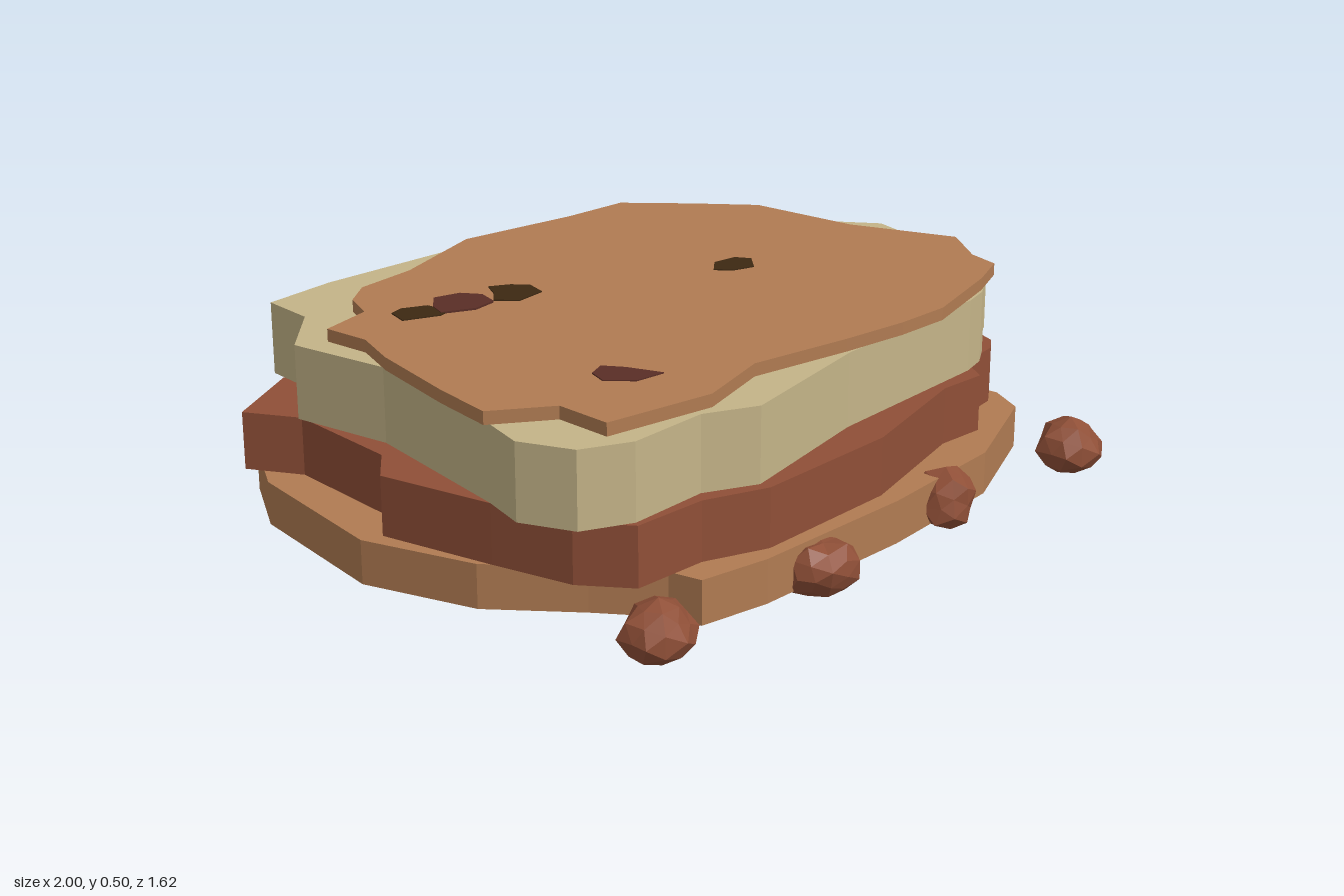
import * as THREE from 'three';

function material(name, color) {
  const m = new THREE.MeshStandardMaterial({ color });
  m.name = name;
  return m;
}

// Flat slab with an irregular outline of [x, z] corners, between two heights
function slab(name, outline, bottom, top, mat) {
  const shape = new THREE.Shape(outline.map(([x, z]) => new THREE.Vector2(x, -z)));
  const geo = new THREE.ExtrudeGeometry(shape, { depth: top - bottom, bevelEnabled: false });
  geo.rotateX(-Math.PI / 2).translate(0, bottom, 0);
  const mesh = new THREE.Mesh(geo, mat);
  mesh.name = name;
  return mesh;
}

// Faceted pebble with a flat underside; offsets depend only on corner direction
function rock(name, x, z, [rx, ry, rz], y, seed, mat) {
  const geo = new THREE.IcosahedronGeometry(1, 1);
  const p = geo.attributes.position;
  const v = new THREE.Vector3();
  for (let i = 0; i < p.count; i++) {
    v.fromBufferAttribute(p, i);
    const k = 0.94 + 0.11 * Math.sin(v.x * 4.3 + v.y * 7.1 + v.z * 5.7 + seed * 2.1);
    p.setXYZ(i, v.x * k * rx, Math.max(v.y * k * ry, 0.004 - y), v.z * k * rz);
  }
  const flat = geo.index ? geo.toNonIndexed() : geo;
  flat.computeVertexNormals();
  const mesh = new THREE.Mesh(flat, mat);
  mesh.name = name;
  mesh.position.set(x, y, z);
  return mesh;
}

export function createModel() {
  const model = new THREE.Group();
  model.name = 'layeredRockPlatform';
  const clay = material('clay brown', 0xb07b52);
  const rust = material('rust brown', 0x8f4f37);
  const sand = material('pale sand', 0xc4b488);
  const dark = material('dark earth', 0x3d2812);
  const maroon = material('maroon earth', 0x5a2e26);

  // Stacked layers, bottom to top
  model.add(slab('baseLayer', [
    [-0.78, -0.71], [-0.91, -0.51], [-1, -0.075], [-0.92, 0.22], [-0.77, 0.42], [-0.67, 0.57],
    [-0.655, 0.655], [-0.47, 0.69], [0, 0.705], [0.4, 0.68], [0.73, 0.55], [0.79, 0.45],
    [0.785, 0.36], [0.957, 0.23], [0.9, 0.02], [0.93, -0.17], [1, -0.385], [0.957, -0.54],
    [0.88, -0.66], [0.65, -0.645], [0.17, -0.72], [-0.36, -0.77], [-0.69, -0.7],
  ], 0.02, 0.13, clay));

  model.add(slab('rustLayer', [
    [-0.66, -0.74], [-0.89, -0.62], [-0.82, -0.48], [-0.86, -0.15], [-0.95, -0.055], [-0.9, 0.25],
    [-0.86, 0.46], [-0.78, 0.58], [-0.58, 0.59], [-0.42, 0.655], [0, 0.655], [0.38, 0.565],
    [0.52, 0.575], [0.58, 0.49], [0.72, 0.47], [0.775, 0.435], [0.866, 0.235], [0.957, -0.36],
    [0.81, -0.6], [0.65, -0.59], [0.37, -0.7], [0, -0.72],
  ], 0.13, 0.278, rust));

  model.add(slab('sandLayer', [
    [-0.65, -0.785], [-0.44, -0.805], [0, -0.785], [0.36, -0.78], [0.4, -0.69], [0.65, -0.66],
    [0.68, -0.49], [0.8, -0.48], [0.8, -0.32], [0.957, -0.07], [0.88, 0.17], [0.85, 0.36],
    [0.79, 0.37], [0.68, 0.47], [0.61, 0.51], [0.53, 0.53], [0, 0.55], [-0.42, 0.625],
    [-0.55, 0.56], [-0.77, 0.565], [-0.89, 0.505], [-0.94, 0.37], [-0.9, 0.25], [-0.8, -0.2],
    [-0.83, -0.48], [-0.67, -0.63],
  ], 0.278, 0.466, sand));

  model.add(slab('topLayer', [
    [0, -0.75], [0.35, -0.7], [0.55, -0.69], [0.68, -0.53], [0.79, -0.38], [0.8, -0.06],
    [0.89, 0.23], [0.78, 0.36], [0.75, 0.45], [0.62, 0.5], [0.35, 0.57], [0.19, 0.565],
    [0, 0.54], [-0.28, 0.49], [-0.5, 0.55], [-0.79, 0.5], [-0.78, 0.35], [-0.915, 0.25],
    [-0.88, 0.08], [-0.81, -0.18], [-0.755, -0.31], [-0.76, -0.44], [-0.61, -0.475],
    [-0.565, -0.57], [-0.48, -0.63], [-0.3, -0.65],
  ], 0.466, 0.498, clay));

  // Thin earth patches on the top
  const patches = [
    [dark, 0.501, [[-0.58, -0.41], [-0.54, -0.42], [-0.48, -0.39], [-0.47, -0.32], [-0.51, -0.31], [-0.6, -0.35]]],
    [maroon, 0.503, [[-0.43, -0.42], [-0.36, -0.4], [-0.33, -0.35], [-0.35, -0.29], [-0.42, -0.28], [-0.5, -0.32], [-0.48, -0.37]]],
    [dark, 0.501, [[-0.27, -0.39], [-0.22, -0.36], [-0.19, -0.32], [-0.21, -0.26], [-0.3, -0.25], [-0.34, -0.3], [-0.3, -0.34]]],
    [dark, 0.501, [[0.27, -0.1], [0.34, -0.09], [0.36, -0.05], [0.31, 0], [0.25, -0.02], [0.22, -0.06]]],
    [maroon, 0.501, [[-0.58, 0.26], [-0.53, 0.24], [-0.5, 0.29], [-0.47, 0.38], [-0.55, 0.37], [-0.6, 0.31]]],
  ];
  patches.forEach(([mat, top, outline], i) =>
    model.add(slab(`earthPatch${i + 1}`, outline, 0.496, top, mat)));

  // Loose rocks along the front
  model.add(
    rock('rock1', -0.81, 0.665, [0.1, 0.085, 0.08], 0.063, 1, rust),
    rock('rock2', -0.295, 0.71, [0.1, 0.075, 0.085], 0.055, 2, rust),
    rock('rock3', 0.215, 0.69, [0.087, 0.082, 0.078], 0.065, 3, rust),
    rock('rock4', 0.73, 0.72, [0.1, 0.085, 0.086], 0.062, 4, rust),
  );
  return model;
}
